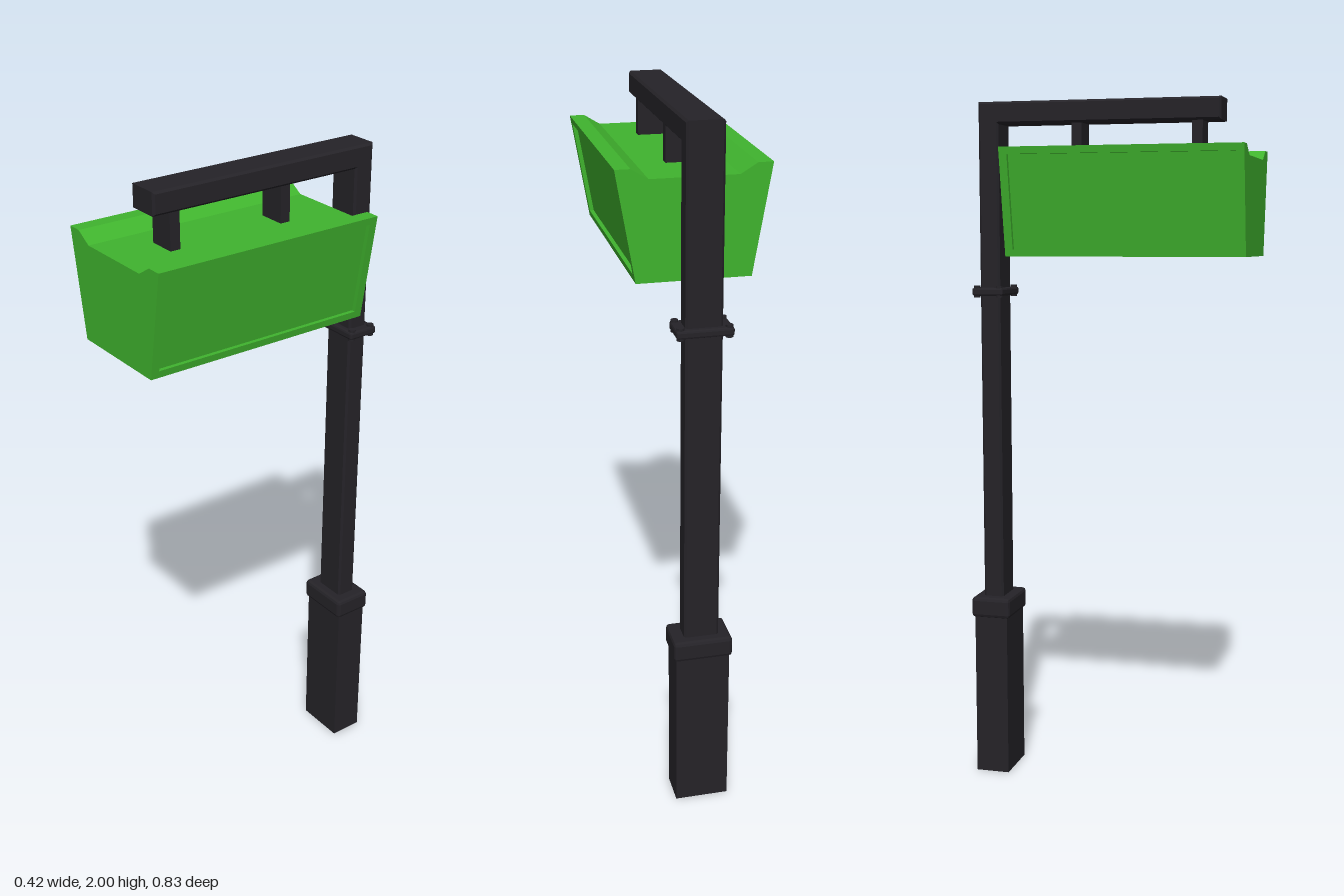
import * as THREE from 'three';
import { RoundedBoxGeometry } from 'three/addons/geometries/RoundedBoxGeometry.js';

const POLE_Z = -0.357;

export function createModel() {
  const model = new THREE.Group();
  model.name = 'hangingSignPost';
  const dark = new THREE.MeshStandardMaterial({ color: 0x252328, flatShading: true });
  const green = new THREE.MeshStandardMaterial({ color: 0x40b42e, flatShading: true });

  const add = (name, geometry, material, parent = model) => {
    const mesh = new THREE.Mesh(geometry, material);
    mesh.name = name;
    parent.add(mesh);
    return mesh;
  };
  const polygon = (points) => new THREE.Shape(points.map(([x, y]) => new THREE.Vector2(x, y)));
  // Box with chamfered edges, standing on height y0
  const chamferBox = (name, w, y0, y1, d, z, chamfer) =>
    add(name, new RoundedBoxGeometry(w, y1 - y0, d, 1, chamfer), dark).position.set(0, (y0 + y1) / 2, z);

  // Pedestal and its collar
  add('base', new THREE.BoxGeometry(0.154, 0.49, 0.1), dark).position.set(0, 0.245, POLE_Z);
  chamferBox('baseCollar', 0.17, 0.482, 0.543, 0.119, POLE_Z, 0.01);

  // Pole and arm: one bent profile drawn in z and y, extruded across x
  const bevel = 0.006;
  const bent = polygon([
    [-0.387, 0.5], [-0.327, 0.5], [-0.327, 1.937], [0.323, 1.937], [0.323, 2], [-0.387, 2],
  ]);
  const postGeometry = new THREE.ExtrudeGeometry(bent, {
    depth: 0.1 - 2 * bevel, bevelThickness: bevel, bevelSize: bevel, bevelOffset: -bevel, bevelSegments: 1,
  });
  postGeometry.translate(0, 0, -0.05 + bevel).rotateY(-Math.PI / 2);
  add('poleAndArm', postGeometry, dark);

  // Bolted flange around the pole
  chamferBox('flange', 0.154, 1.446, 1.469, 0.094, POLE_Z, 0.006);
  for (const x of [-0.065, 0.065]) {
    for (const dz of [-0.034, 0.034]) {
      add('flangeBolt', new THREE.CylinderGeometry(0.01, 0.01, 0.034, 10), dark)
        .position.set(x, 1.458, POLE_Z + dz);
    }
  }

  // Hangers between arm and sign
  for (const z of [0.255, -0.095]) {
    add('hanger', new THREE.BoxGeometry(0.08, 0.13, 0.03), dark).position.set(0, 1.885, z);
  }

  // Sign: tapered body with a troughed top
  const sign = new THREE.Group();
  sign.name = 'sign';
  sign.position.set(0, 1.561, 0.0715);
  model.add(sign);
  const length = 0.687, height = 0.301, bottom = 0.156, top = 0.208, recess = 0.012;
  const half = [[bottom - recess, 0], [top - recess, height], [0.166, height], [0.12, 0.273]];
  const body = polygon([...half, ...half.map(([x, y]) => [-x, y]).reverse()]);
  const bodyGeometry = new THREE.ExtrudeGeometry(body, { depth: length, bevelEnabled: false });
  bodyGeometry.translate(0, 0, -length / 2);
  add('signBody', bodyGeometry, green, sign);

  // Raised frames around the slanted side panels, sheared to follow the taper
  const rectangle = (w, y0, y1) => [[-w / 2, y0], [w / 2, y0], [w / 2, y1], [-w / 2, y1]];
  const frame = polygon(rectangle(length, 0, height));
  frame.holes.push(polygon(rectangle(length - 0.046, 0.02, height - 0.02)));
  const frameGeometry = new THREE.ExtrudeGeometry(frame, { depth: recess, bevelEnabled: false });
  frameGeometry.applyMatrix4(new THREE.Matrix4().makeBasis(
    new THREE.Vector3(0, 0, -1),
    new THREE.Vector3((top - bottom) / height, 1, 0),
    new THREE.Vector3(1, 0, 0),
  ).setPosition(bottom - recess, 0, 0));
  add('leftPanelFrame', frameGeometry, green, sign);
  add('rightPanelFrame', frameGeometry, green, sign).rotation.y = Math.PI;

  return model;
}
